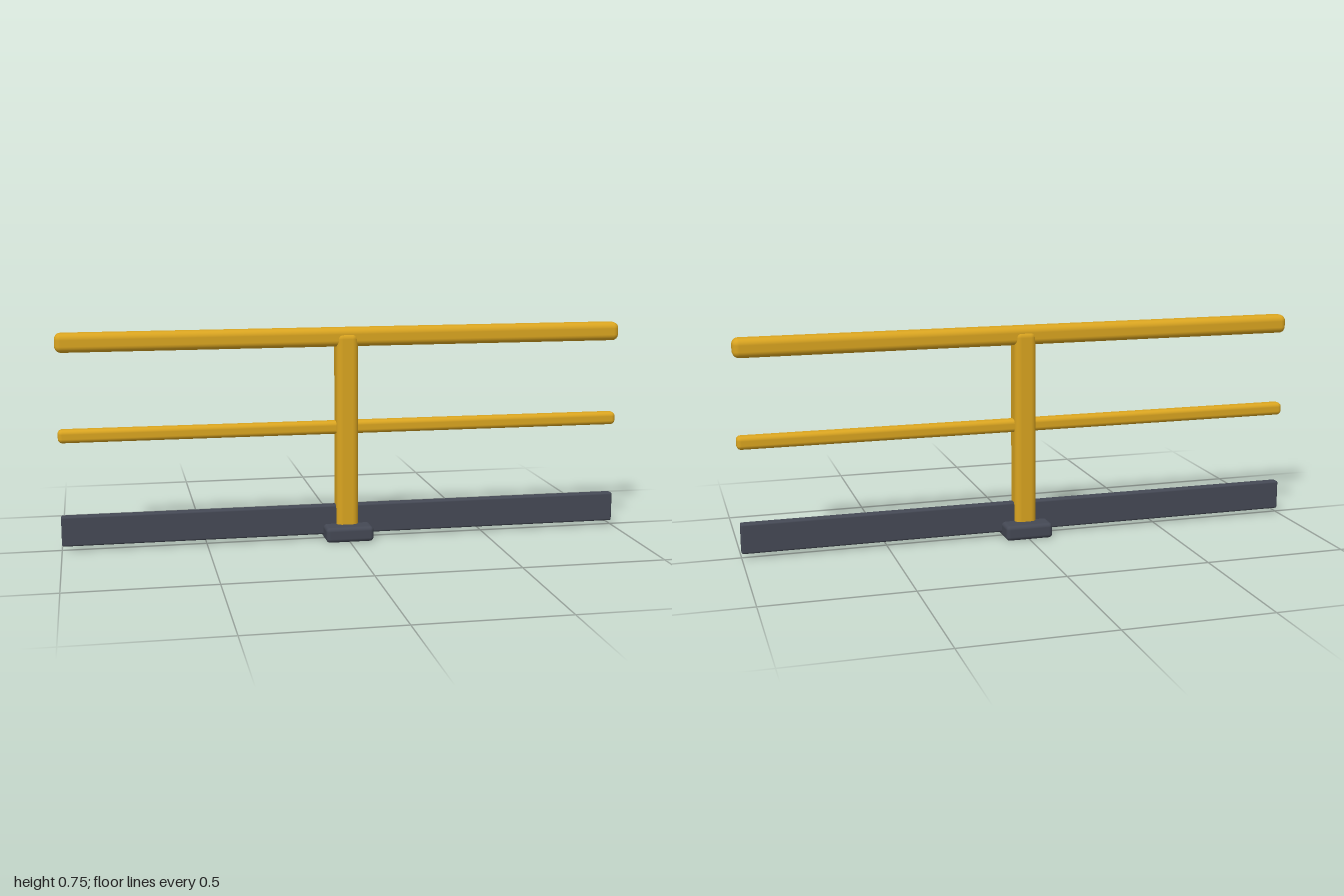
import * as THREE from 'three';
import { RoundedBoxGeometry } from 'three/addons/geometries/RoundedBoxGeometry.js';

export function createModel() {
  const group = new THREE.Group();
  group.name = 'guardRail';

  const yellow = new THREE.MeshStandardMaterial({ name: 'safetyYellow', color: 0xd9a420 });
  const slate = new THREE.MeshStandardMaterial({ name: 'slateGrey', color: 0x444854 });

  // Softened bar spanning y0..y1, centred on x and z
  function bar(name, material, width, y0, y1, depth, radius) {
    const geometry = new RoundedBoxGeometry(width, y1 - y0, depth, 4, radius);
    const mesh = new THREE.Mesh(geometry, material);
    mesh.name = name;
    mesh.position.y = (y0 + y1) / 2;
    group.add(mesh);
  }

  // Rails
  bar('topRail', yellow, 2, 0.689, 0.755, 0.067, 0.022);
  bar('midRail', yellow, 2, 0.379, 0.425, 0.046, 0.015);

  // Upright and its foot
  bar('post', yellow, 0.078, 0.02, 0.738, 0.078, 0.022);
  bar('basePlate', slate, 0.17, 0, 0.054, 0.172, 0.014);

  // Kick board along the bottom
  bar('toeBoard', slate, 2, 0.016, 0.122, 0.034, 0.007);

  return group;
}
